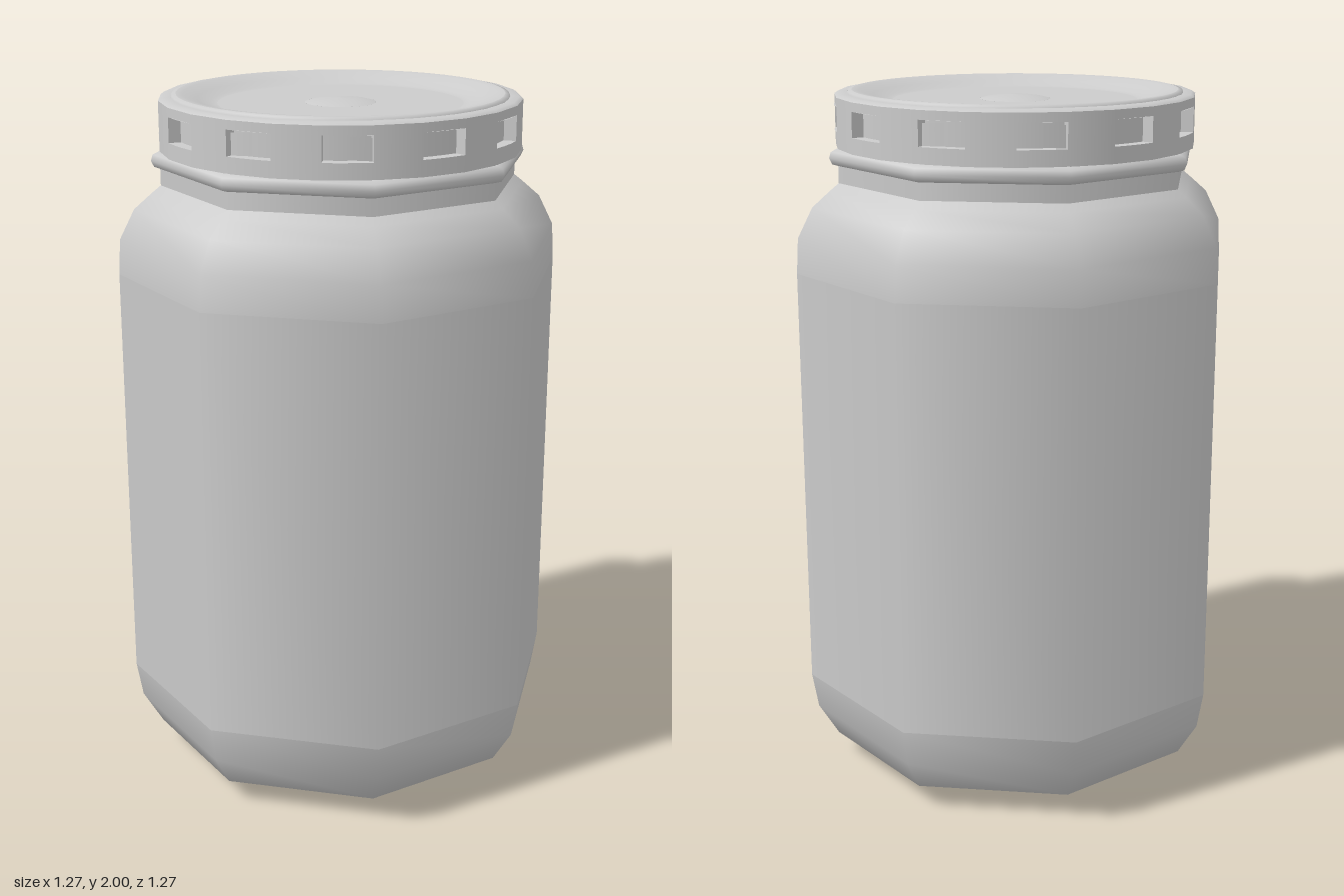
import * as THREE from 'three';
import { mergeGeometries } from 'three/addons/utils/BufferGeometryUtils.js';

const grey = new THREE.MeshStandardMaterial({ color: 0xcccccc, side: THREE.DoubleSide });

// Surface of revolution from [radius, height] pairs.
function lathe(name, sides, profile) {
  const points = profile.map(([r, y]) => new THREE.Vector2(r, y));
  const mesh = new THREE.Mesh(new THREE.LatheGeometry(points, sides), grey);
  mesh.name = name;
  return mesh;
}

// Grip band: 12 shallow pockets, each one 15 degree facet wide.
function gripBand() {
  const R = 0.51, depth = 0.035, low = 1.845, high = 1.985, sill = 1.89, top = 1.96;
  const step = Math.PI / 12, parts = [];
  const wall = (r, y0, y1, a) => {
    const g = new THREE.CylinderGeometry(r, r, y1 - y0, 1, 1, true, a, step);
    parts.push(g.translate(0, (y0 + y1) / 2, 0));
  };
  const ledge = (y, a, up) => {
    const g = new THREE.RingGeometry(R - depth, R, 1, 1, a - Math.PI / 2, step);
    // Ring angles run from +x, so the two flips need different start angles.
    if (up) g.rotateX(-Math.PI / 2);
    else g.rotateX(Math.PI / 2).rotateY(2 * a + step);
    parts.push(g.translate(0, y, 0));
  };
  const cheek = (a, turn) => {
    const g = new THREE.PlaneGeometry(depth, top - sill);
    if (turn) g.rotateY(Math.PI);
    g.translate(R - depth / 2, (sill + top) / 2, 0).rotateY(a - Math.PI / 2);
    parts.push(g);
  };
  for (let i = 0; i < 12; i++) {
    const a = i * 2 * step;
    wall(R, low, sill, a);
    wall(R, top, high, a);
    wall(R - depth, sill, top, a);
    wall(R, low, high, a + step);
    ledge(sill, a, true);
    ledge(top, a, false);
    cheek(a, false);
    cheek(a + step, true);
  }
  const mesh = new THREE.Mesh(mergeGeometries(parts), grey);
  mesh.name = 'lidGripBand';
  return mesh;
}

export function createModel() {
  const model = new THREE.Group();
  model.name = 'jarWithLid';

  // Eight-sided jar, corners on the axes
  const jar = new THREE.Group();
  jar.name = 'jar';
  jar.add(
    lathe('jarBase', 8, [[0, 0.03], [0.36, 0.03]]),
    lathe('jarFoot', 8, [[0.36, 0.03], [0.385, 0.008], [0.41, 0], [0.435, 0.008], [0.455, 0.025], [0.46, 0.04]]),
    lathe('jarLowerCurve', 8, [[0.46, 0.04], [0.56, 0.068], [0.618, 0.165], [0.636, 0.27]]),
    lathe('jarWall', 8, [[0.636, 0.27], [0.636, 1.5]]),
    lathe('jarShoulder', 8, [[0.636, 1.5], [0.63, 1.6], [0.587, 1.685], [0.535, 1.73], [0.51, 1.75]]),
    lathe('jarCollar', 8, [[0.51, 1.75], [0.51, 1.8]]),
    lathe('jarNeckRing', 8, [[0.51, 1.798], [0.527, 1.803], [0.535, 1.82], [0.53, 1.837], [0.51, 1.846], [0.49, 1.846]]),
    lathe('jarNeck', 8, [[0.49, 1.84], [0.49, 1.95]]),
  );

  // Round lid with a dished top and a small raised button
  const lid = new THREE.Group();
  lid.name = 'lid';
  lid.add(
    gripBand(),
    lathe('lidUnderside', 24, [[0.45, 1.845], [0.51, 1.845]]),
    lathe('lidShoulder', 24, [[0.51, 1.985], [0.5, 1.992], [0.475, 1.992]]),
    lathe('lidRim', 48, [[0.475, 1.985], [0.472, 1.997], [0.46, 2]]),
    lathe('lidDish', 48, [[0.46, 2], [0.44, 1.998], [0.4, 1.984], [0.365, 1.972], [0.345, 1.97]]),
    lathe('lidPanel', 48, [[0.345, 1.97], [0.1, 1.97]]),
    lathe('lidButton', 24, [[0.1, 1.97], [0.08, 1.975], [0.045, 1.98], [0, 1.982]]),
  );

  model.add(jar, lid);
  return model;
}
